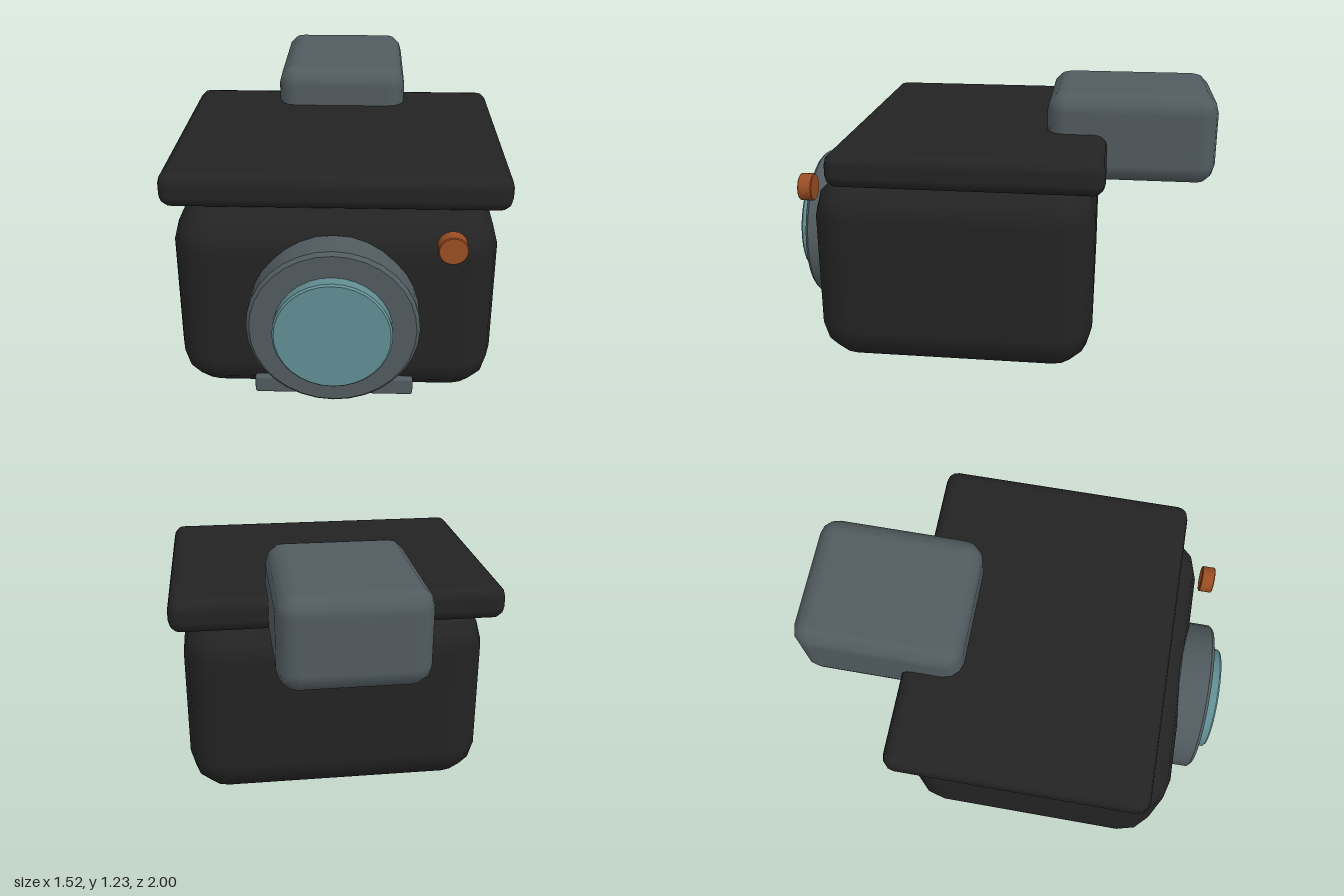
import * as THREE from 'three';
import { toCreasedNormals } from 'three/addons/utils/BufferGeometryUtils.js';

const STEPS = 3; // facets along each rounded edge

// Box with evenly rounded edges: a sphere whose eight octants are pushed apart to the corners.
function roundedBox(w, h, d, r) {
  const hx = w / 2 - r, hy = h / 2 - r, hz = d / 2 - r;
  const quarter = Math.PI / 2 / STEPS;
  const rows = [{ lat: -Math.PI / 2, side: -1, spread: 0 }];
  for (const side of [-1, 1]) {
    for (let i = 0; i <= STEPS; i++) {
      rows.push({ lat: (side < 0 ? i - STEPS : i) * quarter, side, spread: 1 });
    }
  }
  rows.push({ lat: Math.PI / 2, side: 1, spread: 0 });
  const cols = [];
  for (let q = 0; q < 4; q++) {
    for (let i = 0; i <= STEPS; i++) {
      cols.push({ lon: (q * STEPS + i) * quarter, sx: q === 0 || q === 3 ? 1 : -1, sz: q < 2 ? 1 : -1 });
    }
  }
  const pos = [], nor = [], index = [], n = cols.length;
  for (const { lat, side, spread } of rows) {
    for (const { lon, sx, sz } of cols) {
      const nx = Math.cos(lat) * Math.cos(lon), ny = Math.sin(lat), nz = Math.cos(lat) * Math.sin(lon);
      pos.push(sx * hx * spread + r * nx, side * hy + r * ny, sz * hz * spread + r * nz);
      nor.push(nx, ny, nz);
    }
  }
  for (let i = 0; i < rows.length - 1; i++) {
    for (let j = 0; j < n; j++) {
      const a = i * n + j, b = i * n + (j + 1) % n;
      index.push(a, a + n, b, b, a + n, b + n);
    }
  }
  const geo = new THREE.BufferGeometry();
  geo.setAttribute('position', new THREE.Float32BufferAttribute(pos, 3));
  geo.setAttribute('normal', new THREE.Float32BufferAttribute(nor, 3));
  geo.setIndex(index);
  return geo;
}

// Disc along z with a small chamfer on both rims.
function disc(radius, z0, z1, bevel, sides) {
  const profile = [
    [0, z0], [radius - bevel, z0], [radius, z0 + bevel],
    [radius, z1 - bevel], [radius - bevel, z1], [0, z1],
  ].map(([x, y]) => new THREE.Vector2(x, y));
  return toCreasedNormals(new THREE.LatheGeometry(profile, sides).rotateX(Math.PI / 2), 0.6);
}

function material(name, color) {
  const m = new THREE.MeshStandardMaterial({ color });
  m.name = name;
  return m;
}

export function createModel() {
  const group = new THREE.Group();
  group.name = 'camera';
  const black = material('black', 0x232323);
  const grey = material('grey', 0x515b5f);
  const glass = material('glass', 0x618e93);
  const orange = material('orange', 0x9a4d22);

  const add = (name, geometry, mat, x, y, z) => {
    const mesh = new THREE.Mesh(geometry, mat);
    mesh.name = name;
    mesh.position.set(x, y, z);
    group.add(mesh);
  };
  // Rounded box given by its half width and its y and z limits
  const block = (name, mat, hw, y0, y1, z0, z1, r) =>
    add(name, roundedBox(hw * 2, y1 - y0, z1 - z0, r), mat, 0, (y0 + y1) / 2, (z0 + z1) / 2);

  // Housing
  block('body', black, 0.71, 0, 0.89, -0.465, 0.812, 0.18);
  block('lid', black, 0.762, 0.883, 1.04, -0.502, 0.705, 0.055);
  block('viewfinder', grey, 0.32, 0.805, 1.226, -1, -0.222, 0.09);

  // Front details
  add('lensRing', disc(0.37, 0.77, 0.942, 0.015, 32), grey, 0, 0.445, 0);
  add('lensGlass', disc(0.254, 0.9, 1, 0.008, 32), glass, 0, 0.447, 0);
  add('shutterButton', disc(0.063, 0.826, 0.89, 0.004, 24), orange, 0.495, 0.802, 0);
  block('frontPlate', grey, 0.352, 0.05, 0.135, 0.818, 0.854, 0.012);

  return group;
}
